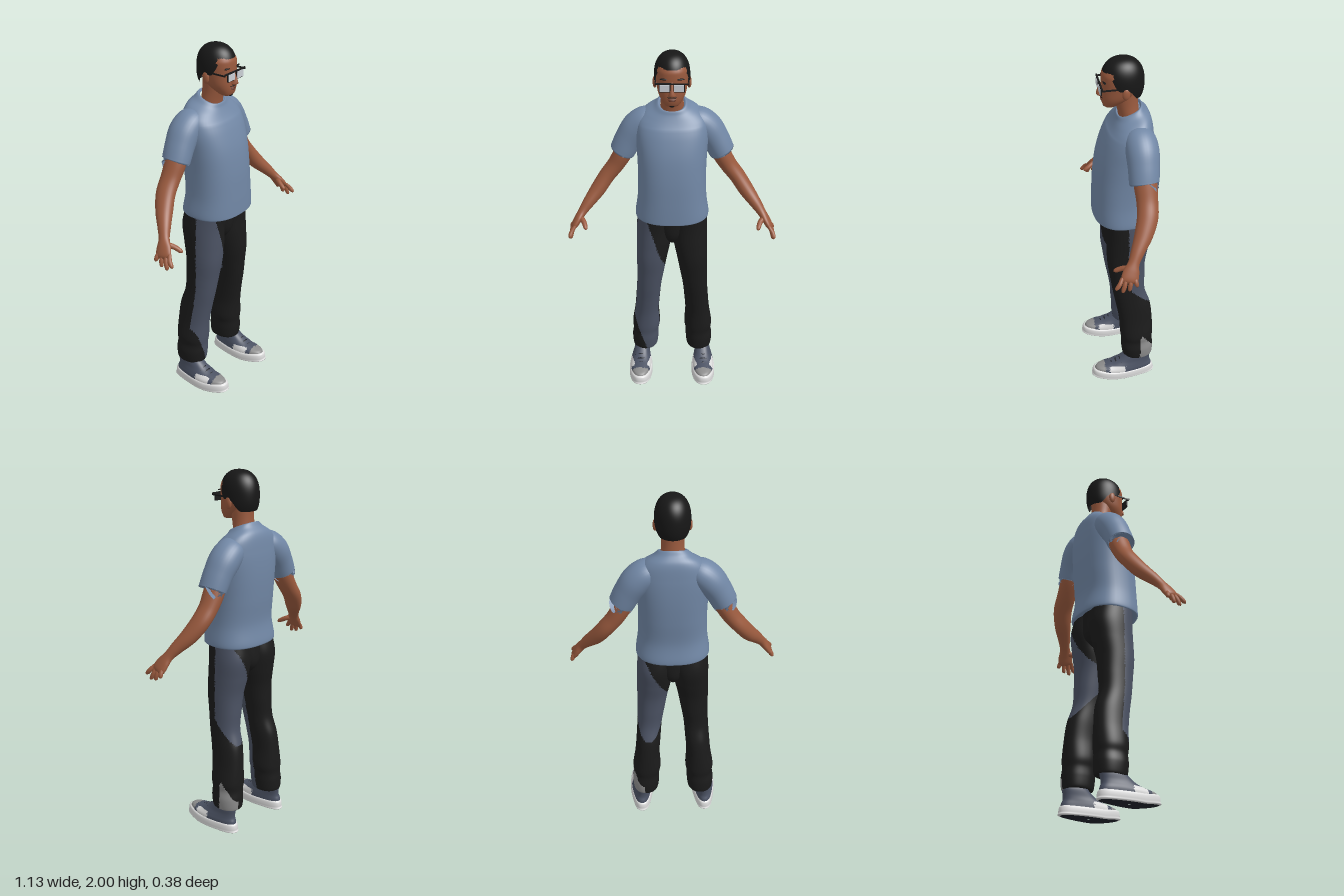
import * as THREE from 'three';

const mat = (name, color) => Object.assign(new THREE.MeshStandardMaterial({ color }), { name });
const M = {
  skin: mat('skin', 0x9a5a3e), lip: mat('lips', 0x6b3a2a), hair: mat('hair black', 0x171717),
  shirt: mat('shirt blue', 0x7187a5), black: mat('trouser black', 0x1b1b1b),
  slate: mat('slate', 0x4b5263), gray: mat('gray', 0x8c8c8c), white: mat('rubber white', 0xdcdcdc),
  lens: mat('lens', 0xc9ced4), sole: mat('outsole', 0x20232b),
};
const Y = new THREE.Vector3(0, 1, 0);

// Closed-ring surface from point(angle, t); pick(p, t) chooses the material of each face
function surface(name, mats, point, n, m, pick = () => 0) {
  const pos = [], lists = mats.map(() => []), c = new THREE.Vector3();
  for (let j = 0; j <= m; j++) for (let i = 0; i < n; i++) pos.push(...point((i / n) * Math.PI * 2, j / m).toArray());
  for (let j = 0; j < m; j++) for (let i = 0; i < n; i++) {
    const k = (i + 1) % n, a = j * n + i, b = j * n + k, d = a + n, e = b + n;
    for (const t of [[a, d, b], [b, d, e]]) {
      c.set(0, 0, 0);
      for (const q of t) c.add(new THREE.Vector3().fromArray(pos, q * 3));
      lists[pick(c.divideScalar(3), (j + 0.5) / m)].push(...t);
    }
  }
  const g = new THREE.BufferGeometry();
  g.setAttribute('position', new THREE.Float32BufferAttribute(pos, 3));
  g.setIndex(lists.flat());
  let start = 0;
  lists.forEach((l, i) => { g.addGroup(start, l.length, i); start += l.length; });
  g.computeVertexNormals();
  const mesh = new THREE.Mesh(g, mats.length > 1 ? mats : mats[0]);
  mesh.name = name;
  return mesh;
}

// Loft through rows [x, y, z, radiusA, radiusB]; level rings, or rings square to the path
function loft(name, mats, rows, { s = 1, path = false, n = 32, m = rows.length * 5, power = 2, warp, pick } = {}) {
  const curve = (f) => new THREE.CatmullRomCurve3(rows.map(f), false, 'catmullrom', 0.5);
  const centre = curve((r) => new THREE.Vector3(r[0] * s, r[1], r[2]));
  const radii = curve((r) => new THREE.Vector3(r[3], r[4], 0));
  const sup = (v) => Math.sign(v) * Math.abs(v) ** (2 / power);
  return surface(name, [].concat(mats), (a, t) => {
    const r = radii.getPoint(t), T = path ? centre.getTangent(t) : Y;
    const B = new THREE.Vector3(0, 0, 1).addScaledVector(T, -T.z).normalize();
    const A = new THREE.Vector3().crossVectors(T, B);
    const p = centre.getPoint(t).addScaledVector(A, r.x * sup(Math.cos(a))).addScaledVector(B, r.y * sup(Math.sin(a)));
    if (warp) warp(p);
    return p;
  }, n, m, pick);
}

function box(name, material, w, h, d, x, y, z) {
  const b = new THREE.Mesh(new THREE.BoxGeometry(w, h, d), material);
  b.position.set(x, y, z);
  b.name = name;
  return b;
}
function ball(name, material, rx, ry, rz, x, y, z) {
  const b = new THREE.Mesh(new THREE.SphereGeometry(1, 20, 14), material);
  b.scale.set(rx, ry, rz);
  b.position.set(x, y, z);
  b.name = name;
  return b;
}

function makeHead() {
  const g = new THREE.Group();
  g.name = 'head';
  g.add(loft('neck', M.skin, [[0, 1.6, -0.07, 0.07, 0.06], [0, 1.69, -0.055, 0.063, 0.055],
    [0, 1.75, -0.045, 0.058, 0.058], [0, 1.83, -0.035, 0.06, 0.065]]));
  g.add(loft('face', M.skin, [[0, 1.738, 0.045, 0.004, 0.004], [0, 1.742, 0.045, 0.034, 0.028],
    [0, 1.765, 0.028, 0.054, 0.056], [0, 1.8, 0.005, 0.072, 0.082], [0, 1.85, -0.012, 0.081, 0.097],
    [0, 1.9, -0.015, 0.085, 0.1], [0, 1.93, -0.016, 0.082, 0.096], [0, 1.96, -0.02, 0.066, 0.075],
    [0, 1.985, -0.02, 0.01, 0.01]], { power: 2.2 }));
  g.add(loft('nose', M.skin, [[0, 1.797, 0.08, 0.004, 0.006], [0, 1.806, 0.088, 0.019, 0.02],
    [0, 1.82, 0.088, 0.016, 0.023], [0, 1.85, 0.084, 0.009, 0.016], [0, 1.88, 0.078, 0.006, 0.006]], { n: 16 }));
  // Hair cap whose hairline drops from forehead to nape
  g.add(surface('hair', [M.hair], (a, t) => {
    const f = Math.sin(a);
    const line = f > 0 ? 1.855 + 0.082 * THREE.MathUtils.smoothstep(f, 0.25, 0.8) : 1.855 - 0.06 * THREE.MathUtils.smoothstep(-f, 0.1, 0.7);
    const h = Math.min(1, (line + (2 - line) * Math.sin(t * Math.PI / 2) - 1.87) / 0.13);
    const k = Math.max(0, 1 - Math.abs(h) ** 2.4) ** (1 / 2.4);
    return new THREE.Vector3(0.093 * k * Math.cos(a), 1.87 + 0.13 * h, -0.023 + 0.111 * k * f);
  }, 64, 24));
  g.children.at(-1).material.side = THREE.DoubleSide;
  g.add(ball('upperLip', M.lip, 0.024, 0.005, 0.008, 0, 1.785, 0.083));
  g.add(ball('lowerLip', M.lip, 0.019, 0.006, 0.008, 0, 1.777, 0.081));
  g.add(ball('moustache', M.hair, 0.026, 0.003, 0.006, 0, 1.795, 0.084));
  g.add(ball('goatee', M.hair, 0.018, 0.01, 0.012, 0, 1.746, 0.066));
  g.add(box('browBar', M.black, 0.17, 0.007, 0.008, 0, 1.872, 0.094));
  for (const s of [-1, 1]) {
    g.add(ball('ear', M.skin, 0.012, 0.032, 0.02, s * 0.088, 1.838, -0.025));
    g.add(ball('eyebrow', M.hair, 0.025, 0.004, 0.008, s * 0.038, 1.89, 0.075));
    g.add(box('glassesRim', M.black, 0.058, 0.044, 0.007, s * 0.036, 1.852, 0.096));
    g.add(box('glassesLens', M.lens, 0.05, 0.036, 0.004, s * 0.036, 1.851, 0.0995));
    g.add(box('glassesTemple', M.black, 0.005, 0.008, 0.12, s * 0.084, 1.866, 0.036));
  }
  return g;
}

// Shirt: body with collar tilted down to the front, plus sleeves
function makeShirt() {
  const g = new THREE.Group();
  g.name = 'shirt';
  const tilt = (p) => { if (p.y > 1.6) p.y -= ((p.y - 1.6) / 0.11) * 0.42 * (p.z + 0.055); };
  g.add(loft('shirtBody', M.shirt, [[0, 1.1, -0.025, 0.13, 0.1], [0, 1.085, -0.022, 0.185, 0.15],
    [0, 1.078, -0.02, 0.196, 0.16], [0, 1.1, -0.02, 0.199, 0.162], [0, 1.2, -0.014, 0.186, 0.154],
    [0, 1.33, -0.023, 0.183, 0.156], [0, 1.45, -0.035, 0.187, 0.15], [0, 1.55, -0.05, 0.192, 0.133],
    [0, 1.62, -0.063, 0.182, 0.112], [0, 1.66, -0.066, 0.148, 0.096], [0, 1.69, -0.06, 0.1, 0.076],
    [0, 1.712, -0.056, 0.074, 0.064], [0, 1.705, -0.056, 0.062, 0.055]], { n: 48, m: 80, power: 2.4, warp: tilt }));
  for (const s of [-1, 1]) {
    g.add(loft('sleeve', M.shirt, [[0.08, 1.62, -0.08, 0.04, 0.05], [0.13, 1.605, -0.085, 0.072, 0.08],
      [0.185, 1.56, -0.09, 0.08, 0.086], [0.23, 1.495, -0.088, 0.074, 0.081], [0.262, 1.432, -0.085, 0.07, 0.078],
      [0.266, 1.424, -0.085, 0.066, 0.074], [0.268, 1.42, -0.085, 0.04, 0.045]], { s, path: true }));
  }
  return g;
}

function makeArm(s) {
  const g = new THREE.Group();
  g.name = s > 0 ? 'leftArm' : 'rightArm';
  g.add(loft('arm', M.skin, [[0.22, 1.5, -0.09, 0.05, 0.055], [0.262, 1.41, -0.092, 0.051, 0.06],
    [0.305, 1.335, -0.093, 0.046, 0.056], [0.355, 1.27, -0.085, 0.043, 0.055], [0.405, 1.2, -0.055, 0.041, 0.048],
    [0.455, 1.14, -0.015, 0.032, 0.036], [0.489, 1.096, 0.012, 0.024, 0.03], [0.514, 1.06, 0.03, 0.021, 0.042],
    [0.535, 1.025, 0.043, 0.017, 0.044], [0.543, 1.01, 0.048, 0.004, 0.02]], { s, path: true, m: 60 }));
  // Knuckle z, then tip y and z of each finger
  for (const [z, ty, tz] of [[0.078, 0.985, 0.112], [0.058, 0.964, 0.08], [0.035, 0.97, 0.045], [0.014, 0.99, 0.008]]) {
    g.add(loft('finger', M.skin, [[0.528, 1.04, z, 0.009, 0.01], [0.546, (1.03 + ty) / 2 + 0.006, (z + tz) / 2, 0.012, 0.012],
      [0.553, ty + 0.008, tz, 0.01, 0.01], [0.553, ty, tz, 0.002, 0.002]], { s, path: true, n: 12 }));
  }
  g.add(loft('thumb', M.skin, [[0.505, 1.075, 0.03, 0.015, 0.015], [0.48, 1.062, 0.068, 0.014, 0.014],
    [0.468, 1.043, 0.103, 0.011, 0.011], [0.467, 1.036, 0.113, 0.002, 0.002]], { s, path: true, n: 12 }));
  return g;
}

// Trouser leg: right leg is panelled in front, left leg behind
function makeLeg(s) {
  const rows = [[0.165, 0.16, -0.08, 0.045, 0.055], [0.162, 0.138, -0.085, 0.062, 0.076], [0.16, 0.145, -0.085, 0.072, 0.087],
    [0.159, 0.2, -0.083, 0.077, 0.092], [0.155, 0.25, -0.081, 0.074, 0.09], [0.153, 0.3, -0.08, 0.08, 0.094],
    [0.148, 0.4, -0.075, 0.07, 0.095], [0.14, 0.5, -0.062, 0.069, 0.097], [0.132, 0.6, -0.038, 0.07, 0.091],
    [0.122, 0.7, -0.03, 0.077, 0.097], [0.113, 0.8, -0.025, 0.086, 0.105], [0.102, 0.9, -0.034, 0.095, 0.115],
    [0.097, 1.0, -0.042, 0.098, 0.121], [0.092, 1.1, -0.03, 0.095, 0.114]];
  const pick = (p) => {
    const X = p.x * s, mid = p.y > 0.65 ? -0.03 : -0.03 - (0.65 - p.y) * 0.11;
    if (s < 0) {
      const upper = X < 0.04 + (p.y - 0.75) * 0.31;
      const lower = X > 0.235 - (0.41 - p.y) * 0.33;
      return p.z > mid + 0.01 && !upper && !lower ? 1 : 0;
    }
    if (p.y < 0.31 - Math.abs(p.z + 0.105) * 1.7 && p.z < -0.09 && X > 0.165) return 2;
    const seat = X < 0.04 + (p.y - 0.85) * 0.5;
    const cuff = p.y < 0.5 + (p.z + 0.17) * 1.1;
    return p.z < mid + 0.005 && !seat && !cuff ? 1 : 0;
  };
  return loft(s > 0 ? 'leftTrouserLeg' : 'rightTrouserLeg', [M.black, M.slate, M.gray], rows, { s, n: 80, m: 150, power: 2.2, pick });
}

function makeShoe(s) {
  const g = new THREE.Group();
  g.name = s > 0 ? 'leftShoe' : 'rightShoe';
  // Lift the toe and narrow the heel
  const warp = (p) => {
    p.y += Math.max(0, p.z - 0.07) * 0.14;
    const w = 1 - 0.16 * THREE.MathUtils.smoothstep(-p.z, -0.04, 0.12);
    p.x = s * 0.186 + (p.x - s * 0.186) * w;
  };
  g.add(loft('shoeSole', [M.white, M.sole], [[0.186, 0.002, 0.006, 0.004, 0.01], [0.186, 0.002, 0.006, 0.062, 0.172],
    [0.186, 0.018, 0.006, 0.069, 0.182], [0.186, 0.045, 0.006, 0.067, 0.179], [0.186, 0.055, 0.006, 0.058, 0.168]],
  { s, n: 48, m: 24, power: 2.4, warp, pick: (p, t) => (t < 0.25 ? 1 : 0) }));
  g.add(loft('shoeUpper', [M.slate, M.white, M.gray], [[0.186, 0.045, 0.004, 0.062, 0.17], [0.186, 0.065, -0.002, 0.061, 0.161],
    [0.184, 0.085, -0.025, 0.056, 0.13], [0.182, 0.108, -0.055, 0.05, 0.1], [0.18, 0.14, -0.08, 0.047, 0.08],
    [0.178, 0.16, -0.085, 0.04, 0.07]], { s, n: 64, m: 32, power: 2.3, warp, pick: (p) => {
    if (p.z > 0.115) return 2;
    return p.z > 0.0 && p.z < 0.09 && Math.abs(p.x - s * 0.186) > 0.037 && p.y < 0.088 ? 1 : 0;
  } }));
  for (let i = 0; i < 4; i++) {
    const z = 0.075 - i * 0.025, y = 0.091 + i * 0.012;
    g.add(loft('lace', M.sole, [[0.15, y - 0.01, z - 0.006, 0.004, 0.004], [0.184, y + 0.003, z, 0.004, 0.004],
      [0.218, y - 0.01, z - 0.006, 0.004, 0.004]], { s, path: true, n: 8 }));
  }
  return g;
}

export function createModel() {
  const model = new THREE.Group();
  model.name = 'standingMan';
  model.add(makeHead(), makeShirt());
  model.add(loft('trouserSeat', M.black, [[0, 0.885, -0.035, 0.005, 0.02], [0, 0.91, -0.035, 0.03, 0.07],
    [0, 0.97, -0.038, 0.08, 0.108], [0, 1.1, -0.03, 0.115, 0.113]]));
  for (const s of [-1, 1]) model.add(makeArm(s), makeLeg(s), makeShoe(s));
  return model;
}
